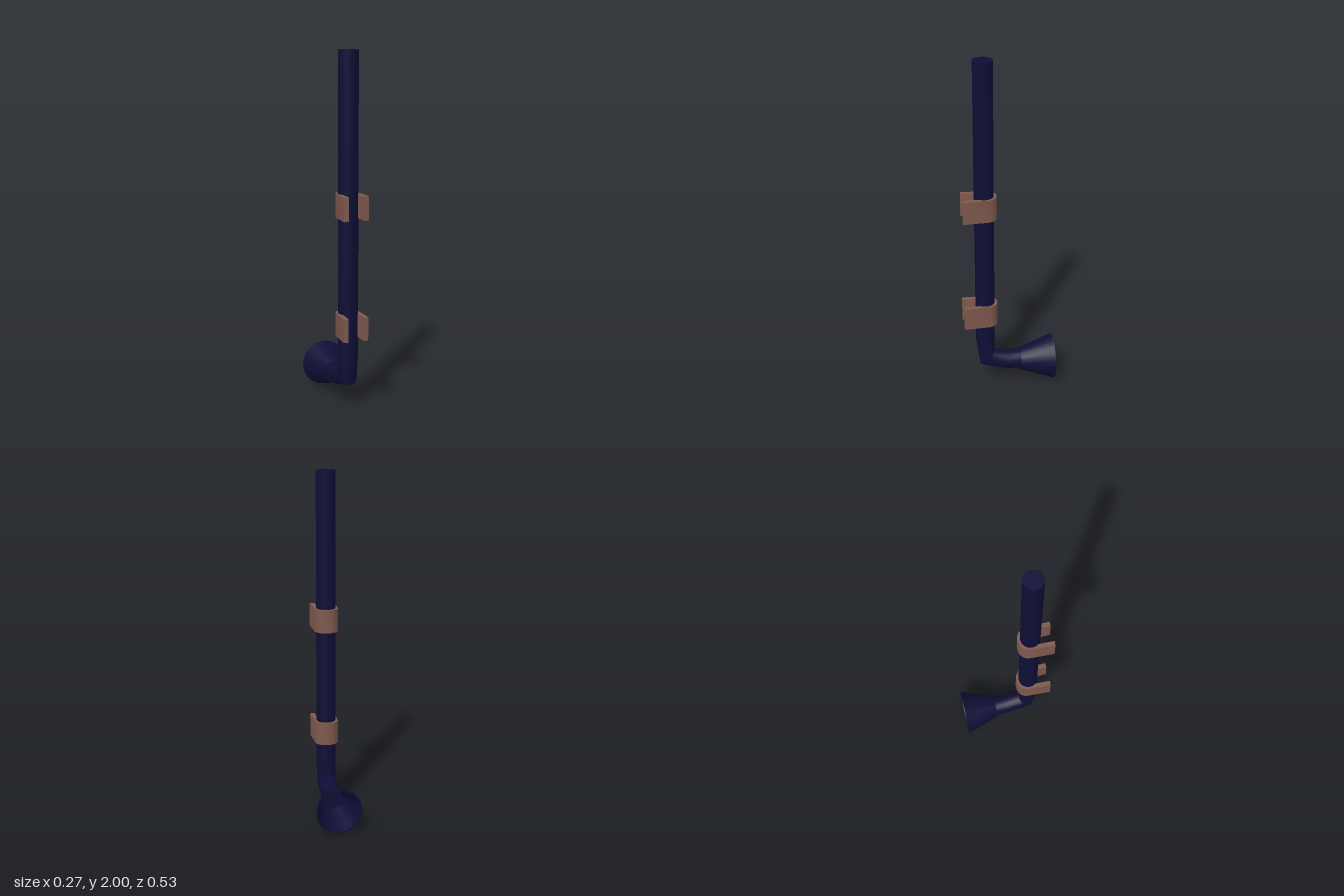
import * as THREE from 'three';
import { toCreasedNormals } from 'three/addons/utils/BufferGeometryUtils.js';

const SIDES = 20;

// Lofts a capped tube through rings: centre (y, z), half-width vector (hy, hz), x radius.
function loftTube(rings) {
  const pos = [], index = [];
  for (const { y, z, hy, hz, rx } of rings) {
    for (let i = 0; i < SIDES; i++) {
      const a = (i / SIDES) * Math.PI * 2;
      pos.push(rx * Math.cos(a), y + hy * Math.sin(a), z + hz * Math.sin(a));
    }
  }
  for (let r = 0; r < rings.length - 1; r++) {
    for (let i = 0; i < SIDES; i++) {
      const j = (i + 1) % SIDES, p = r * SIDES, q = p + SIDES;
      index.push(p + i, p + j, q + i, p + j, q + j, q + i);
    }
  }
  // End caps
  const last = (rings.length - 1) * SIDES;
  for (let i = 1; i < SIDES - 1; i++) {
    index.push(0, i + 1, i, last, last + i, last + i + 1);
  }
  const geo = new THREE.BufferGeometry();
  geo.setAttribute('position', new THREE.Float32BufferAttribute(pos, 3));
  geo.setIndex(index);
  return toCreasedNormals(geo, 0.65);
}

// U-shaped clip outline in plan (x, z), extruded along the pipe.
function clipGeometry(height) {
  const outer = [[0.072, 0.262], [0.066, 0.11], [0.053, 0.088], [0.036, 0.073], [0.018, 0.067]];
  const inner = [[0.045, 0.264], [0.042, 0.13], [0.034, 0.108], [0.02, 0.094]];
  const mirror = (pts) => pts.map(([x, z]) => [-x, z]).reverse();
  const outline = [
    ...outer, [0, 0.065], ...mirror(outer),
    ...mirror(inner).reverse(), [0, 0.09], ...[...inner].reverse(),
  ];
  const shape = new THREE.Shape(outline.map(([x, z]) => new THREE.Vector2(x, z)));
  const geo = new THREE.ExtrudeGeometry(shape, { depth: height, bevelEnabled: false });
  geo.translate(0, 0, -height / 2);
  geo.rotateX(Math.PI / 2);
  return toCreasedNormals(geo, 0.7);
}

export function createModel() {
  const model = new THREE.Group();
  model.name = 'pipeWithClips';

  const navy = new THREE.MeshStandardMaterial({ color: 0x0e0e36 });
  navy.name = 'navy';
  const brown = new THREE.MeshStandardMaterial({ color: 0x7f594e });
  brown.name = 'brown';

  const add = (name, geometry, material) => {
    const mesh = new THREE.Mesh(geometry, material);
    mesh.name = name;
    model.add(mesh);
    return mesh;
  };

  // Upright pipe with an elbow leading to the back
  add('pipe', loftTube([
    { y: 2, z: 0.137, hy: 0, hz: 0.056, rx: 0.056 },
    { y: 0.3, z: 0.137, hy: 0, hz: 0.056, rx: 0.056 },
    { y: 0.172, z: 0.126, hy: -0.043, hz: 0.041, rx: 0.056 },
    { y: 0.137, z: 0, hy: -0.057, hz: 0, rx: 0.056 },
    { y: 0.137, z: -0.075, hy: -0.057, hz: 0, rx: 0.056 },
  ]), navy);

  // Flared, hollow mouth facing the back
  const profile = [[0, 0], [0.067, 0], [0.133, 0.197], [0.124, 0.197], [0.06, 0.012], [0, 0.012]];
  const horn = new THREE.LatheGeometry(profile.map(([r, h]) => new THREE.Vector2(r, h)), SIDES);
  horn.rotateX(-Math.PI / 2);
  add('flaredMouth', toCreasedNormals(horn, 0.6), navy).position.set(0, 0.134, -0.07);

  // Two clips gripping the pipe, open to the front
  const clip = clipGeometry(0.134);
  add('lowerClip', clip, brown).position.y = 0.476;
  add('upperClip', clip, brown).position.y = 1.152;

  return model;
}
